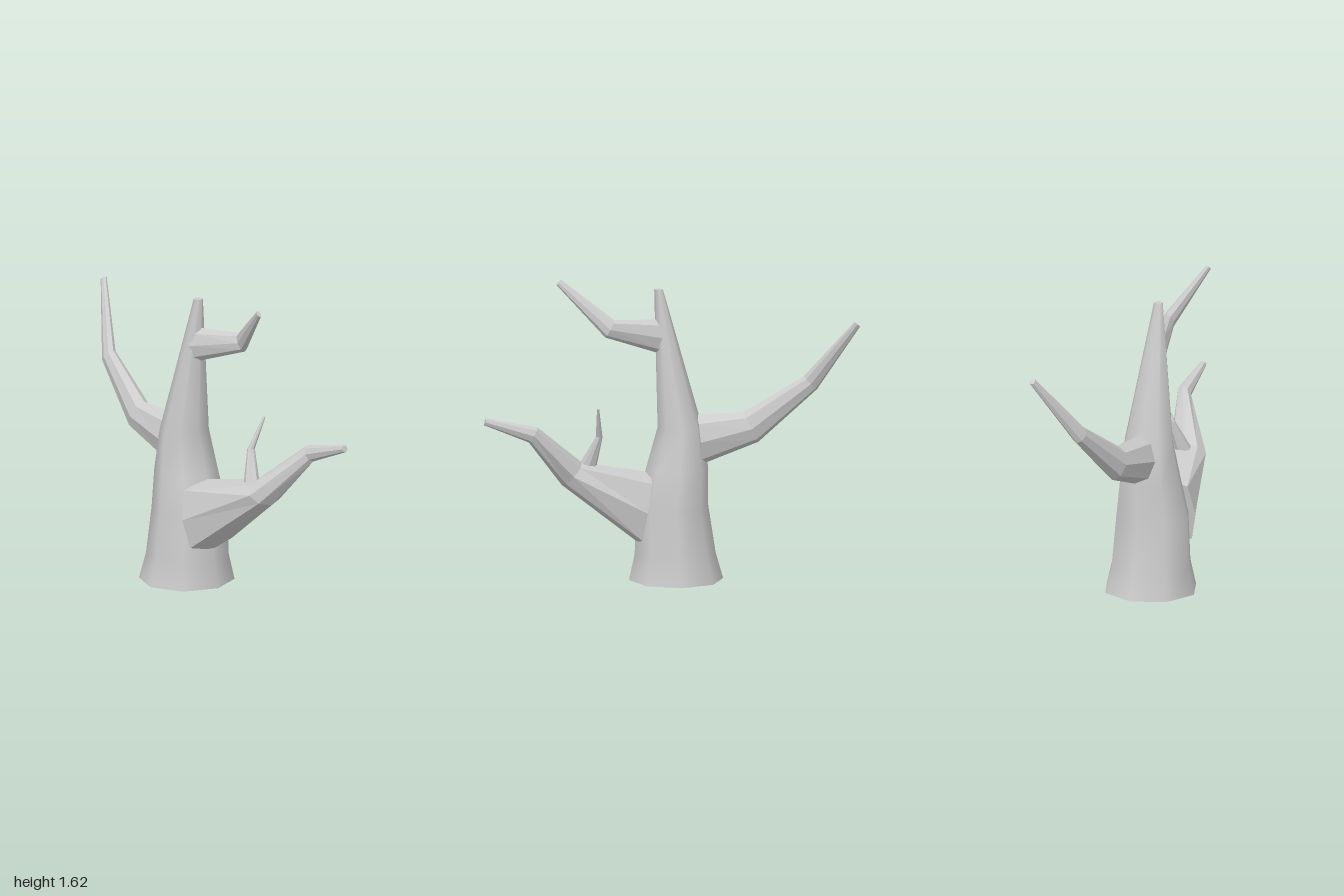
import * as THREE from 'three';

const SIDES = 8;

// Lofts a capped tube through rings.
// Ring: [x, y, z, radius across the xy plane, radius along z, heading in degrees, roundness power]
function loft(name, rings, flat) {
  const pos = [], index = [];
  const addRing = ([x, y, z, h, w, deg, power = 1]) => {
    const t = THREE.MathUtils.degToRad(deg);
    const shape = (v) => (Math.abs(v) < 1e-6 ? 0 : Math.sign(v) * Math.abs(v) ** power);
    for (let i = 0; i < SIDES; i++) {
      const a = (i / SIDES) * Math.PI * 2;
      const u = shape(Math.cos(a)) * h, s = shape(Math.sin(a)) * w;
      pos.push(x - Math.sin(t) * u, y + Math.cos(t) * u, z + s);
    }
  };
  rings.forEach(addRing);
  for (let r = 0; r < rings.length - 1; r++) {
    for (let i = 0; i < SIDES; i++) {
      const j = (i + 1) % SIDES, a = r * SIDES, b = a + SIDES;
      index.push(a + i, a + j, b + j, a + i, b + j, b + i);
    }
  }
  // End caps use their own vertices so their edges stay sharp
  [rings[0], rings[rings.length - 1]].forEach((ring, end) => {
    const base = pos.length / 3;
    addRing(ring);
    for (let i = 1; i < SIDES - 1; i++) {
      if (end) index.push(base, base + i, base + i + 1);
      else index.push(base, base + i + 1, base + i);
    }
  });
  const geo = new THREE.BufferGeometry();
  geo.setAttribute('position', new THREE.Float32BufferAttribute(pos, 3));
  geo.setIndex(index);
  geo.computeVertexNormals();
  const mesh = new THREE.Mesh(geo, new THREE.MeshStandardMaterial({ color: 0xcccccc, flatShading: flat }));
  mesh.name = name;
  return mesh;
}

export function createModel() {
  const tree = new THREE.Group();
  tree.name = 'bareTree';

  // Trunk: flared foot, slight bend, long taper
  tree.add(loft('trunk', [
    [-0.05, 0, 0, 0.25, 0.255, 90],
    [-0.045, 0.14, 0, 0.215, 0.222, 90],
    [-0.03, 0.4, 0, 0.19, 0.207, 90],
    [-0.055, 0.6, 0, 0.165, 0.172, 90],
    [-0.07, 0.82, 0, 0.118, 0.14, 90],
    [0.043, 1.56, 0, 0.023, 0.025, 90],
  ], false));

  // Thick lower branch on the left
  tree.add(loft('lowerBranch', [
    [0.12, 0.39, 0, 0.19, 0.18, 10, 0.6],
    [0.51, 0.59, -0.055, 0.08, 0.105, 42],
    [0.73, 0.828, -0.185, 0.046, 0.038, 30],
    [0.988, 0.908, -0.2, 0.019, 0.018, 18],
  ], true));

  // Small twig standing on the lower branch
  tree.add(loft('twig', [
    [0.435, 0.59, -0.03, 0.052, 0.045, 110],
    [0.368, 0.79, -0.085, 0.018, 0.022, 98],
    [0.383, 0.955, -0.165, 0.006, 0.007, 83],
  ], true));

  // Middle branch on the right
  tree.add(loft('middleBranch', [
    [-0.17, 0.75, -0.01, 0.135, 0.095, 175],
    [-0.445, 0.81, -0.01, 0.09, 0.062, 153],
    [-0.755, 1.053, -0.07, 0.05, 0.036, 135],
    [-0.985, 1.395, -0.235, 0.02, 0.016, 128],
  ], true));

  // Upper branch on the left
  tree.add(loft('upperBranch', [
    [0.03, 1.307, 0, 0.092, 0.055, 5],
    [0.31, 1.367, -0.072, 0.052, 0.032, 28],
    [0.568, 1.602, 0.035, 0.019, 0.013, 42],
  ], true));

  return tree;
}
